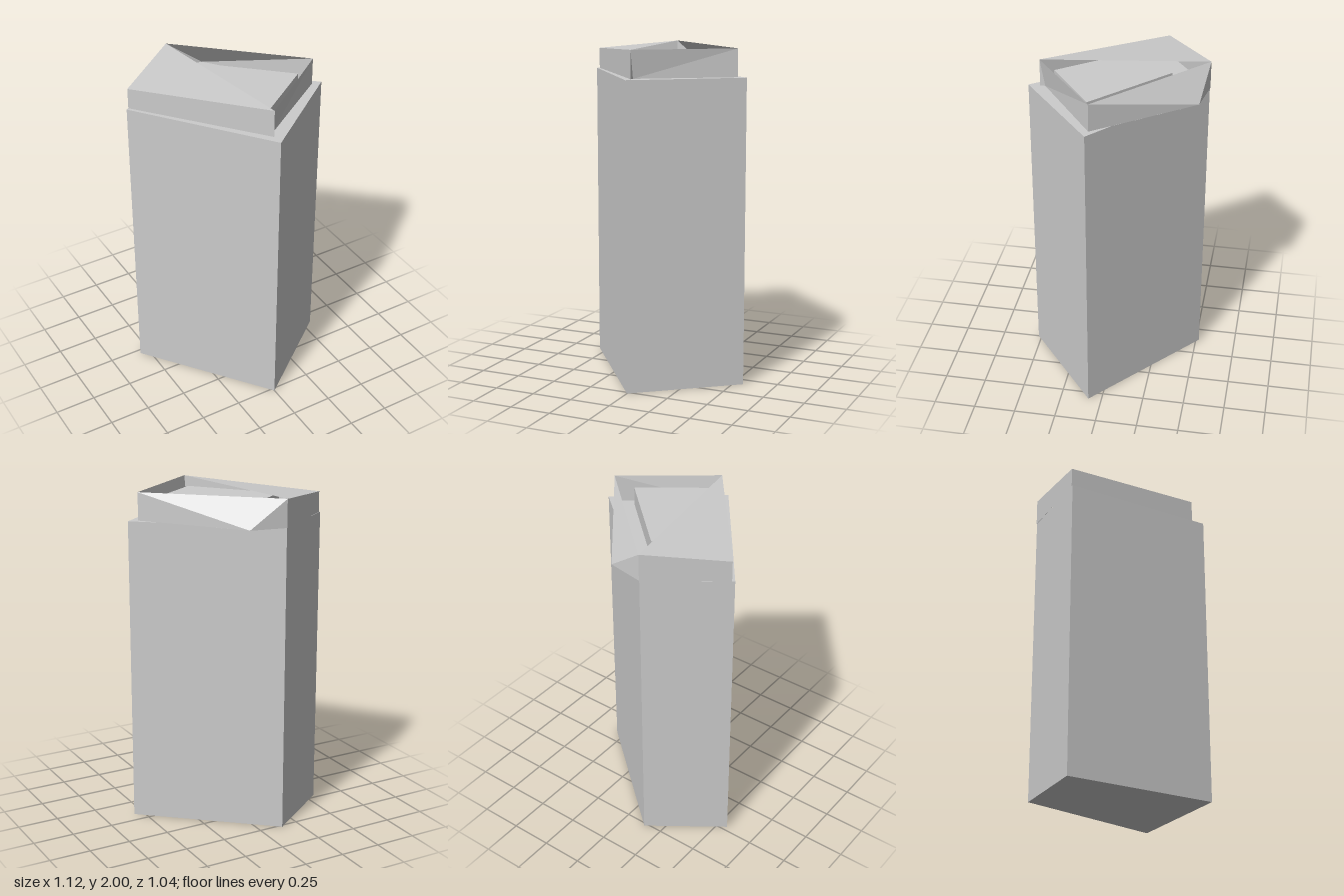
import * as THREE from 'three';

const BODY_TOP = 1.835;
const grey = new THREE.MeshStandardMaterial({ color: 0xcccccc, flatShading: true });
const greyThin = new THREE.MeshStandardMaterial({ color: 0xcccccc, flatShading: true, side: THREE.DoubleSide });

// Upright block over a footprint of [x, z] corners
function prism(name, footprint, y0, y1) {
  const shape = new THREE.Shape(footprint.map(([x, z]) => new THREE.Vector2(x, -z)));
  const geometry = new THREE.ExtrudeGeometry(shape, { depth: y1 - y0, bevelEnabled: false });
  geometry.rotateX(-Math.PI / 2).translate(0, y0, 0);
  const mesh = new THREE.Mesh(geometry, grey);
  mesh.name = name;
  return mesh;
}

// Thin panel from convex polygons, each a list of [x, y, z] corners
function panel(name, ...polygons) {
  const positions = [];
  for (const p of polygons) {
    for (let i = 1; i < p.length - 1; i++) positions.push(...p[0], ...p[i], ...p[i + 1]);
  }
  const geometry = new THREE.BufferGeometry();
  geometry.setAttribute('position', new THREE.Float32BufferAttribute(positions, 3));
  geometry.computeVertexNormals();
  const mesh = new THREE.Mesh(geometry, greyThin);
  mesh.name = name;
  return mesh;
}

export function createModel() {
  const model = new THREE.Group();
  model.name = 'towerBlock';

  // Tall main block
  model.add(prism('towerBody', [[-0.56, -0.22], [0, 0.52], [0.56, 0.08], [-0.14, -0.52]], 0, BODY_TOP));

  // Low slab on the roof, partly under the sloping cover
  model.add(prism('roofSlab', [[-0.34, -0.11], [0.02, 0.36], [0.38, 0.1], [-0.06, -0.31]], BODY_TOP, 1.95));

  // Corners of the parapet: upper and lower rims
  const westTop = [-0.545, 1.96, -0.228], westLow = [-0.545, BODY_TOP, -0.228];
  const frontTop = [0, 2, 0.45], frontLow = [0, BODY_TOP, 0.45], frontInner = [0, BODY_TOP, 0.42];
  const eastTop = [0.5, 2, 0.07], eastLow = [0.5, BODY_TOP, 0.07];
  const backTop = [-0.14, 2, -0.523], backLow = [-0.14, BODY_TOP, -0.523];
  const overhang = [0.08, BODY_TOP, -0.485];

  const parapet = new THREE.Group();
  parapet.name = 'parapet';
  parapet.add(
    panel('slopingCover', [westTop, frontTop, backTop]),
    panel('frontLeftWall', [westLow, frontLow, frontTop, westTop]),
    panel('frontWall', [frontInner, eastLow, eastTop], [frontInner, eastTop, frontTop], [frontLow, frontInner, frontTop]),
    panel('sideWall', [eastLow, overhang, eastTop], [eastTop, overhang, backTop]),
    panel('backWall', [overhang, backLow, backTop], [backLow, westLow, westTop, backTop]),
    panel('overhangFloor', [backLow, overhang, [0.41, BODY_TOP, -0.05]]),
  );
  model.add(parapet);
  return model;
}
